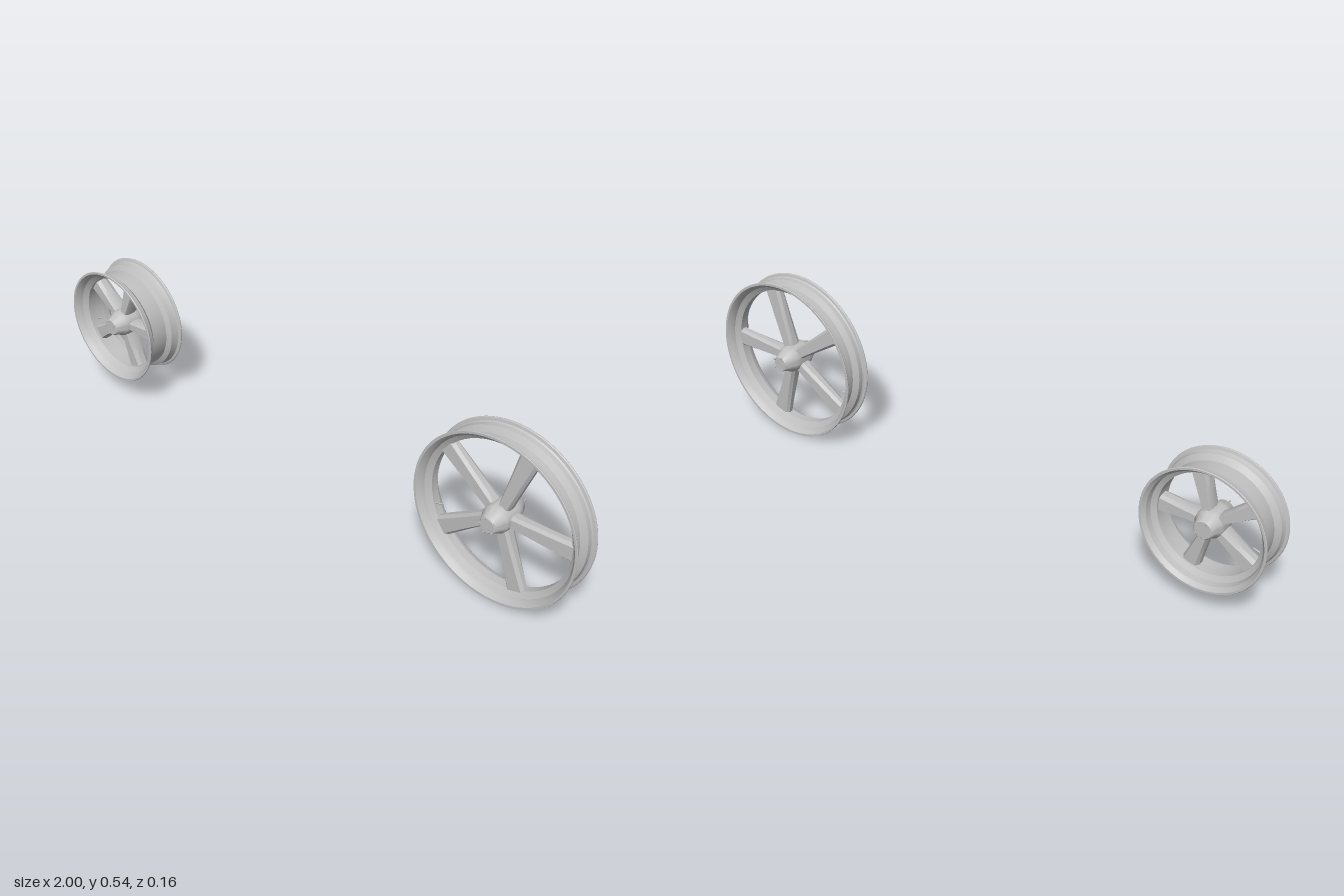
import * as THREE from 'three';
import { toCreasedNormals } from 'three/addons/utils/BufferGeometryUtils.js';

const metal = new THREE.MeshStandardMaterial({ color: 0xc0c0c0 });
metal.name = 'brushed metal';

function part(name, geometry, parent) {
  const mesh = new THREE.Mesh(geometry, metal);
  mesh.name = name;
  parent.add(mesh);
  return mesh;
}

// Turned part around the z axis, profile given as [radius, z]
function turned(profile, sides, crease = 0.5) {
  const points = profile.map(([r, z]) => new THREE.Vector2(r, z));
  const geometry = new THREE.LatheGeometry(points, sides).rotateX(Math.PI / 2);
  return toCreasedNormals(geometry, crease);
}

// Chamfered bar along +y that flares from the hub to the rim
function spokeGeometry({ r0, r1, w0, w1, d0, d1 }) {
  const length = r1 - r0;
  const geometry = new THREE.CylinderGeometry(1, 1, length, 8, 6, false, Math.PI / 8);
  geometry.translate(0, length / 2 + r0, 0);
  const p = geometry.attributes.position;
  for (let i = 0; i < p.count; i++) {
    const x = p.getX(i), y = p.getY(i), z = p.getZ(i);
    if (Math.hypot(x, z) < 0.1) continue;
    const t = (y - r0) / length;
    const side = Math.abs(x) > Math.abs(z);
    const w = w0 + (w1 - w0) * Math.pow(t, 1.2);
    const d = d0 + (d1 - d0) * t;
    p.setXYZ(i, Math.sign(x) * w * (side ? 1 : 0.72), y, Math.sign(z) * d * (side ? 0.45 : 1));
  }
  return toCreasedNormals(geometry, 0.4);
}

function makeWheel(name, { rim, hub, spoke, bolts, valve }) {
  const wheel = new THREE.Group();
  wheel.name = name;
  part('rim', turned(rim, 72), wheel);
  part('hub', turned(hub, 32), wheel);

  const bar = spokeGeometry(spoke);
  for (let i = 0; i < 5; i++) {
    part('spoke', bar, wheel).rotation.z = (i / 5) * Math.PI * 2 - Math.PI / 2;
  }

  // Ring of small bolts on each listed hub face
  const bolt = new THREE.CylinderGeometry(0.0025, 0.0025, 0.012, 6).rotateX(Math.PI / 2);
  for (const z of bolts) {
    for (let i = 0; i < 5; i++) {
      const a = ((i + 0.5) / 5) * Math.PI * 2;
      part('hubBolt', bolt, wheel).position.set(Math.cos(a) * 0.024, Math.sin(a) * 0.024, z);
    }
  }

  // Valve stem pointing inward from the rim
  const a = Math.PI * 1.105;
  const stem = part('valveStem', new THREE.CylinderGeometry(0.002, 0.003, 0.035, 8), wheel);
  stem.position.set(Math.cos(a) * valve, Math.sin(a) * valve, 0.005);
  stem.rotation.z = a + Math.PI / 2;
  return wheel;
}

export function createModel() {
  const model = new THREE.Group();
  model.name = 'wheelPair';

  // Tall narrow wheel
  const large = makeWheel('largeWheel', {
    rim: [
      [0.262, -0.05], [0.269, -0.05], [0.27, -0.047], [0.268, -0.044], [0.26, -0.042],
      [0.257, -0.038], [0.256, -0.024], [0.239, -0.012], [0.239, 0.01],
      [0.256, 0.022], [0.257, 0.036], [0.26, 0.04], [0.268, 0.042], [0.27, 0.045],
      [0.269, 0.048], [0.262, 0.048], [0.252, 0.036], [0.249, 0.024],
      [0.232, 0.012], [0.232, -0.014], [0.249, -0.026], [0.252, -0.038], [0.262, -0.05],
    ],
    hub: [
      [0, -0.072], [0.023, -0.072], [0.026, -0.069], [0.034, -0.05], [0.042, -0.035], [0.044, -0.02],
      [0.044, 0.02], [0.042, 0.035], [0.034, 0.048], [0.026, 0.067], [0.023, 0.07], [0, 0.07],
    ],
    spoke: { r0: 0.03, r1: 0.235, w0: 0.018, w1: 0.031, d0: 0.022, d1: 0.015 },
    bolts: [0.072, -0.073],
    valve: 0.22,
  });
  large.position.set(0.73, 0.272, 0);
  model.add(large);

  // Small wide wheel
  const small = makeWheel('smallWheel', {
    rim: [
      [0.186, -0.071], [0.192, -0.071], [0.1935, -0.068], [0.192, -0.065], [0.184, -0.062],
      [0.182, -0.058], [0.18, -0.036], [0.165, -0.026], [0.165, 0.03],
      [0.18, 0.044], [0.182, 0.056], [0.184, 0.06], [0.192, 0.063], [0.1935, 0.066],
      [0.192, 0.069], [0.186, 0.069], [0.176, 0.056], [0.173, 0.046],
      [0.158, 0.032], [0.158, -0.028], [0.173, -0.038], [0.176, -0.058], [0.186, -0.071],
    ],
    hub: [
      [0, -0.06], [0.026, -0.06], [0.029, -0.057], [0.034, -0.04], [0.042, -0.028], [0.044, -0.015],
      [0.044, 0.02], [0.042, 0.035], [0.034, 0.048], [0.028, 0.067], [0.025, 0.07], [0, 0.07],
    ],
    spoke: { r0: 0.03, r1: 0.161, w0: 0.014, w1: 0.027, d0: 0.026, d1: 0.022 },
    bolts: [0.072, -0.061],
    valve: 0.147,
  });
  small.position.set(-0.8065, 0.268, 0);
  model.add(small);

  return model;
}
